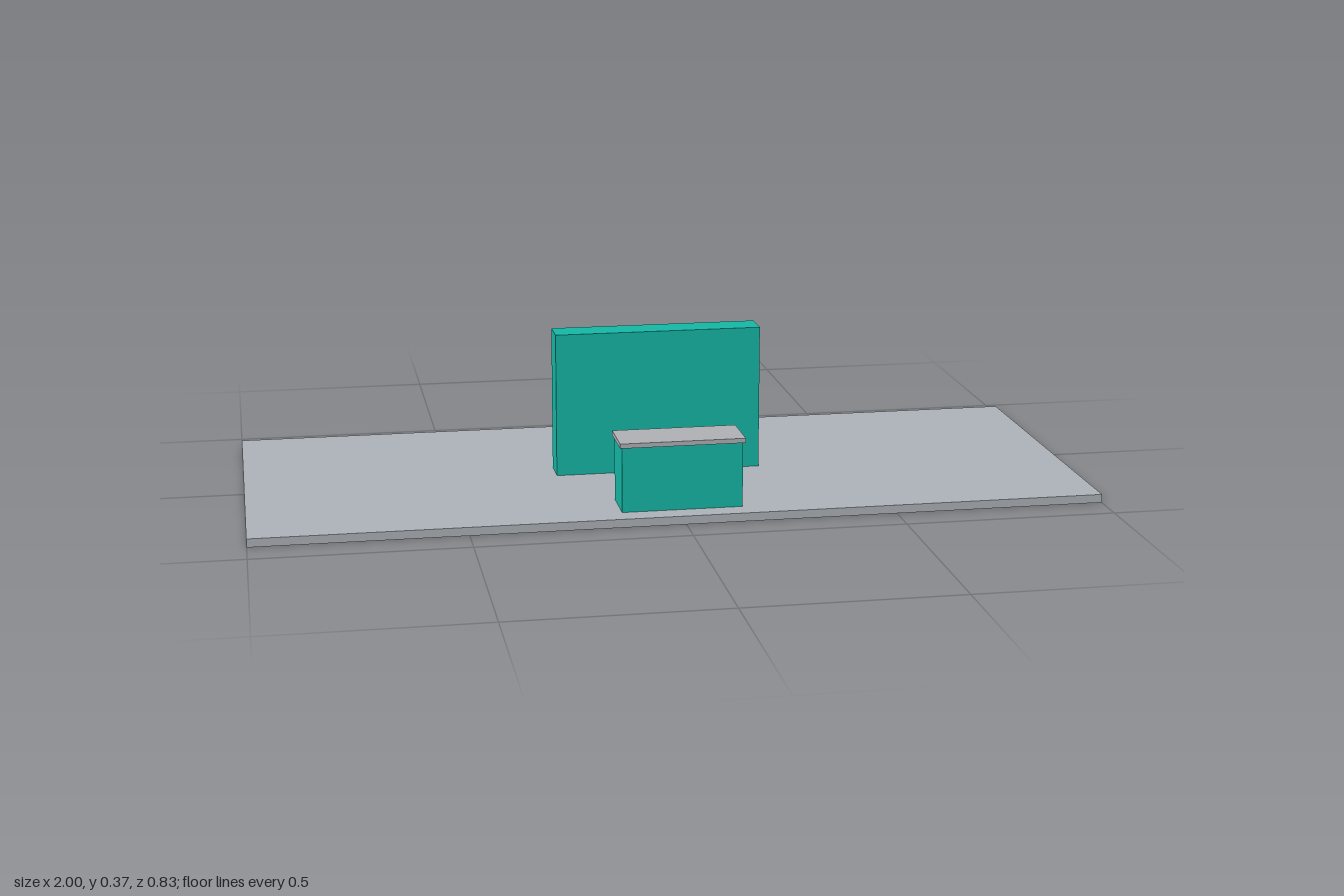
import * as THREE from 'three';

export function createModel() {
  const group = new THREE.Group();

  const floorGrey = new THREE.MeshStandardMaterial({ color: 0xadb3b8 });
  floorGrey.name = 'floorGrey';
  const teal = new THREE.MeshStandardMaterial({ color: 0x14b8a6 });
  teal.name = 'teal';
  const topGrey = new THREE.MeshStandardMaterial({ color: 0xb0b1b5 });
  topGrey.name = 'topGrey';

  // Box given by width, depth, bottom and top height, and centre z
  function block(name, material, width, depth, bottom, top, z = 0) {
    const mesh = new THREE.Mesh(new THREE.BoxGeometry(width, top - bottom, depth), material);
    mesh.name = name;
    mesh.position.set(0, (bottom + top) / 2, z);
    group.add(mesh);
  }

  // Floor platform
  block('floor', floorGrey, 2, 0.83, 0, 0.02);
  // Upright back wall, set slightly into the floor
  block('backWall', teal, 0.5, 0.075, 0.01, 0.37);
  // Counter with an overhanging top
  block('counterBody', teal, 0.284, 0.108, 0.01, 0.175, 0.309);
  block('counterTop', topGrey, 0.294, 0.12, 0.175, 0.186, 0.309);

  return group;
}
